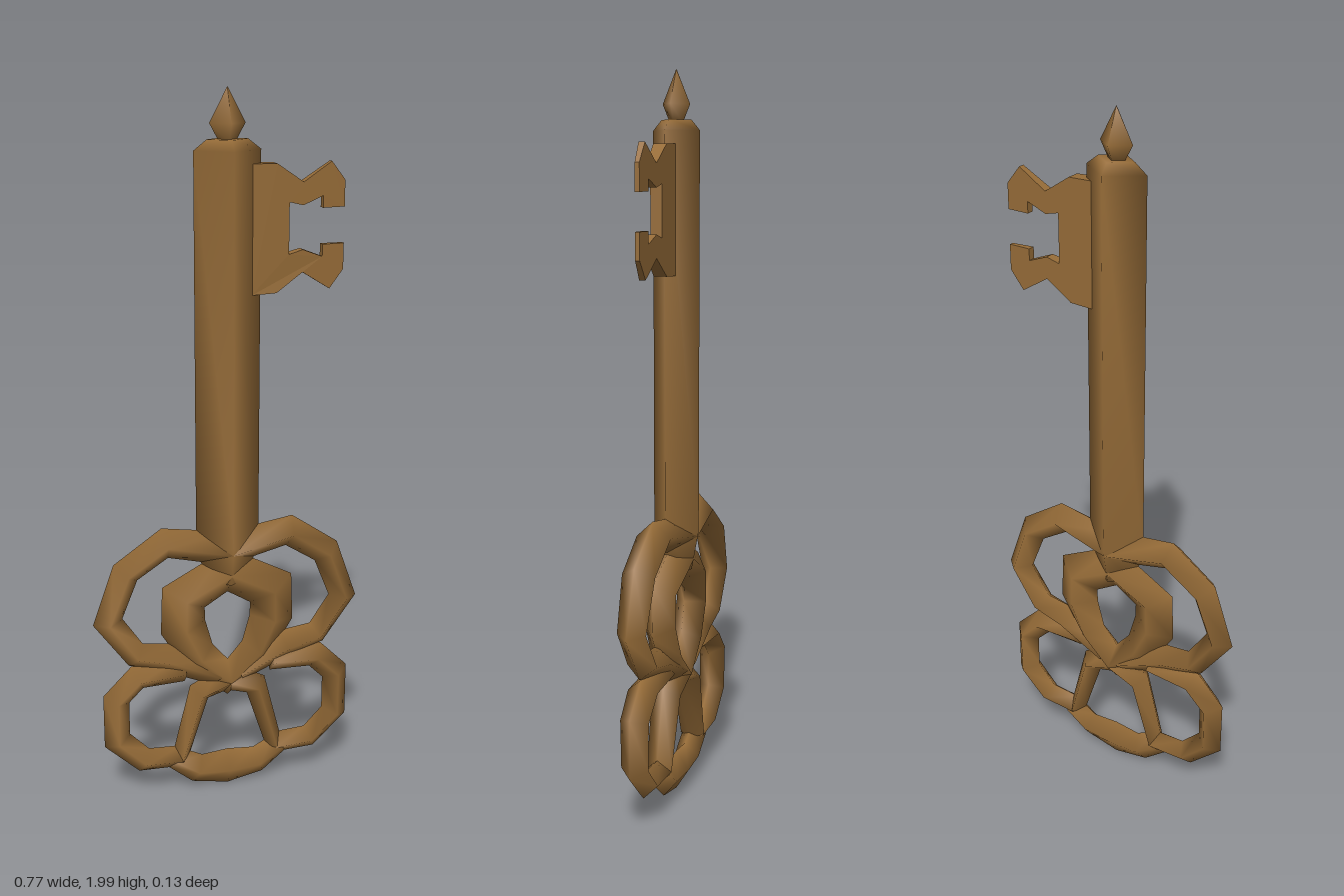
import * as THREE from 'three';

const bronze = new THREE.MeshStandardMaterial({ color: 0x966c38 });
bronze.name = 'bronze';

// Sweeps a diamond section along a path in the xy plane.
// Each path point is [x, y, half width, half depth].
function diamondBar(name, path, closed = false) {
  const n = path.length, pos = [], idx = [];
  const at = (i) => (closed ? path[(i + n) % n] : path[Math.min(n - 1, Math.max(0, i))]);
  const dir = (a, b) => new THREE.Vector2(b[0] - a[0], b[1] - a[1]).normalize();
  for (let i = 0; i < n; i++) {
    const [x, y, w, d] = path[i];
    const before = dir(at(i - 1), path[i]), after = dir(path[i], at(i + 1));
    const t = before.clone().add(after).normalize();
    // widen the mitre at corners
    const cos = Math.max(0.6, t.dot(after.lengthSq() ? after : before));
    const nx = (-t.y * w) / cos, ny = (t.x * w) / cos;
    pos.push(x + nx, y + ny, 0, x, y, d, x - nx, y - ny, 0, x, y, -d);
  }
  for (let i = 0; i < (closed ? n : n - 1); i++) {
    for (let j = 0; j < 4; j++) {
      const k = (j + 1) % 4, next = (i + 1) % n;
      const a = i * 4 + j, b = i * 4 + k, c = next * 4 + j, e = next * 4 + k;
      idx.push(a, b, c, b, e, c);
    }
  }
  if (!closed) {
    const l = (n - 1) * 4;
    idx.push(0, 2, 1, 0, 3, 2, l, l + 1, l + 2, l, l + 2, l + 3);
  }
  const g = new THREE.BufferGeometry();
  g.setAttribute('position', new THREE.Float32BufferAttribute(pos, 3));
  g.setIndex(idx);
  g.computeVertexNormals();
  const mesh = new THREE.Mesh(g, bronze);
  mesh.name = name;
  return mesh;
}

const mirror = (path) => path.map(([x, ...rest]) => [-x, ...rest]);

export function createModel() {
  const key = new THREE.Group();
  key.name = 'key';

  // shaft with bevelled end
  key.add(diamondBar('shaft', [
    [0, 0.66, 0.06, 0.045], [0, 0.77, 0.09, 0.065], [0, 1.845, 0.09, 0.065],
    [0, 1.872, 0.055, 0.042],
  ]));

  // pointed finial
  key.add(diamondBar('finial', [
    [0, 1.865, 0.022, 0.018], [0, 1.912, 0.048, 0.038], [0, 2, 0.001, 0.001],
  ]));

  // bow: upper lobes, lower lobes and spokes, mirrored
  const bow = new THREE.Group();
  bow.name = 'bow';
  const parts = {
    UpperLobe: [
      [0, 0.755, 0.05, 0.062], [0.18, 0.79, 0.042, 0.048], [0.292, 0.715, 0.04, 0.046],
      [0.345, 0.573, 0.037, 0.04], [0.268, 0.463, 0.035, 0.042], [0.17, 0.44, 0.045, 0.045],
      [0.03, 0.375, 0.04, 0.045],
    ],
    LowerLobe: [
      [0.13, 0.4, 0.04, 0.042], [0.265, 0.392, 0.037, 0.042], [0.327, 0.33, 0.037, 0.04],
      [0.327, 0.2, 0.037, 0.038], [0.25, 0.125, 0.035, 0.036], [0.14, 0.12, 0.034, 0.036],
    ],
    Spoke: [
      [0, 0.355, 0.04, 0.044], [0.085, 0.32, 0.032, 0.042], [0.142, 0.12, 0.025, 0.036],
    ],
  };
  for (const [name, path] of Object.entries(parts)) {
    bow.add(diamondBar('left' + name, path), diamondBar('right' + name, mirror(path)));
  }

  // central ring
  const halfRing = [
    [0.128, 0.62, 0.062, 0.044], [0.13, 0.53, 0.064, 0.044], [0.085, 0.435, 0.05, 0.045],
  ];
  bow.add(diamondBar('centralRing', [
    [0, 0.69, 0.058, 0.052], ...halfRing, [0, 0.357, 0.042, 0.046],
    ...mirror(halfRing).reverse(),
  ], true));

  // scalloped bottom rim
  const halfRim = [[0.16, 0.118, 0.034, 0.036], [0.092, 0.072, 0.043, 0.036]];
  bow.add(diamondBar('bottomRim', [
    ...halfRim, [0, 0.065, 0.056, 0.036], ...mirror(halfRim).reverse(),
  ]));
  key.add(bow);

  // bit: notched plate, symmetric about y = 1.64, front face sloping back outward
  const half = [
    [0.06, 0.17], [0.13, 0.168], [0.205, 0.118], [0.285, 0.168], [0.325, 0.118],
    [0.325, 0.048], [0.262, 0.048], [0.262, 0.08], [0.205, 0.058], [0.165, 0.068],
  ];
  const outline = [...half, ...half.map(([x, y]) => [x, -y]).reverse()];
  const shape = new THREE.Shape(outline.map(([x, y]) => new THREE.Vector2(x, 1.64 + y)));
  const plate = new THREE.ExtrudeGeometry(shape, { depth: 0.04, bevelEnabled: false });
  plate.translate(0, 0, -0.02);
  const p = plate.attributes.position;
  for (let i = 0; i < p.count; i++) {
    if (p.getZ(i) > 0) {
      p.setZ(i, THREE.MathUtils.mapLinear(Math.max(p.getX(i), 0.1), 0.1, 0.325, 0.02, -0.008));
    }
  }
  plate.computeVertexNormals();
  const bit = new THREE.Mesh(plate, bronze);
  bit.name = 'bit';
  key.add(bit);

  return key;
}
